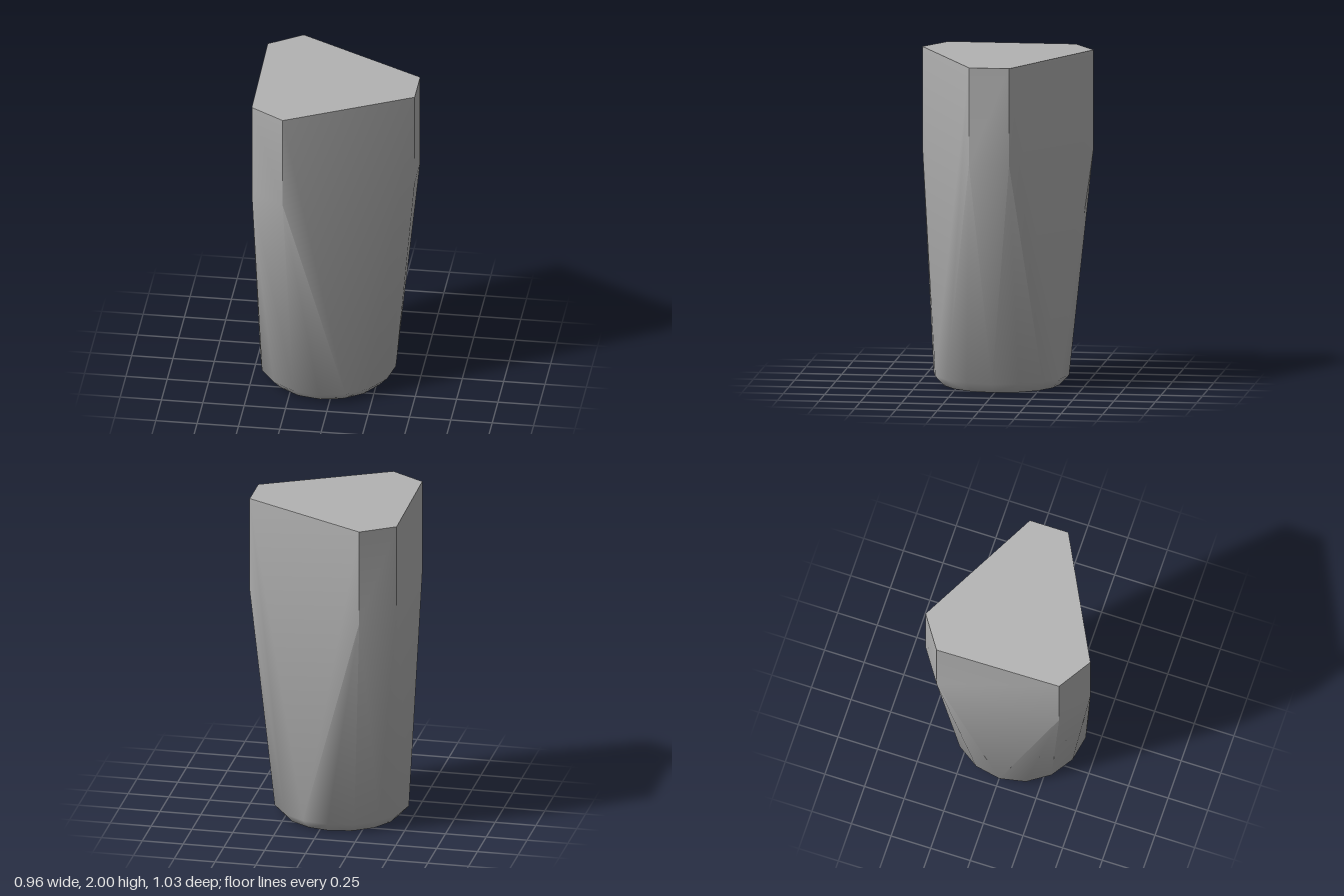
import * as THREE from 'three';
import { ConvexGeometry } from 'three/addons/geometries/ConvexGeometry.js';
import { toCreasedNormals } from 'three/addons/utils/BufferGeometryUtils.js';

export function createModel() {
  const group = new THREE.Group();
  const grey = new THREE.MeshStandardMaterial({ color: 0xb2b2b2 });
  grey.name = 'plain grey';

  const points = [];

  // six-sided head: straight from y = 1.41 to the top
  const head = [[-0.28, -0.52], [-0.48, -0.385], [-0.47, 0.385], [-0.265, 0.515], [0.48, 0.13], [0.48, -0.113]];
  for (const y of [2, 1.41]) {
    for (const [x, z] of head) points.push(new THREE.Vector3(x, y, z));
  }

  // round foot with a chamfered rim
  const sides = 16;
  for (const [y, r] of [[0.06, 0.41], [0, 0.354]]) {
    for (let i = 0; i < sides; i++) {
      const a = (i / sides) * Math.PI * 2;
      points.push(new THREE.Vector3(-0.06 + r * Math.cos(a), y, 0.008 + r * Math.sin(a)));
    }
  }

  // the body is the skin stretched from the head to the foot
  const body = new THREE.Mesh(toCreasedNormals(new ConvexGeometry(points), 0.87), grey);
  body.name = 'taperedBody';
  group.add(body);
  return group;
}
